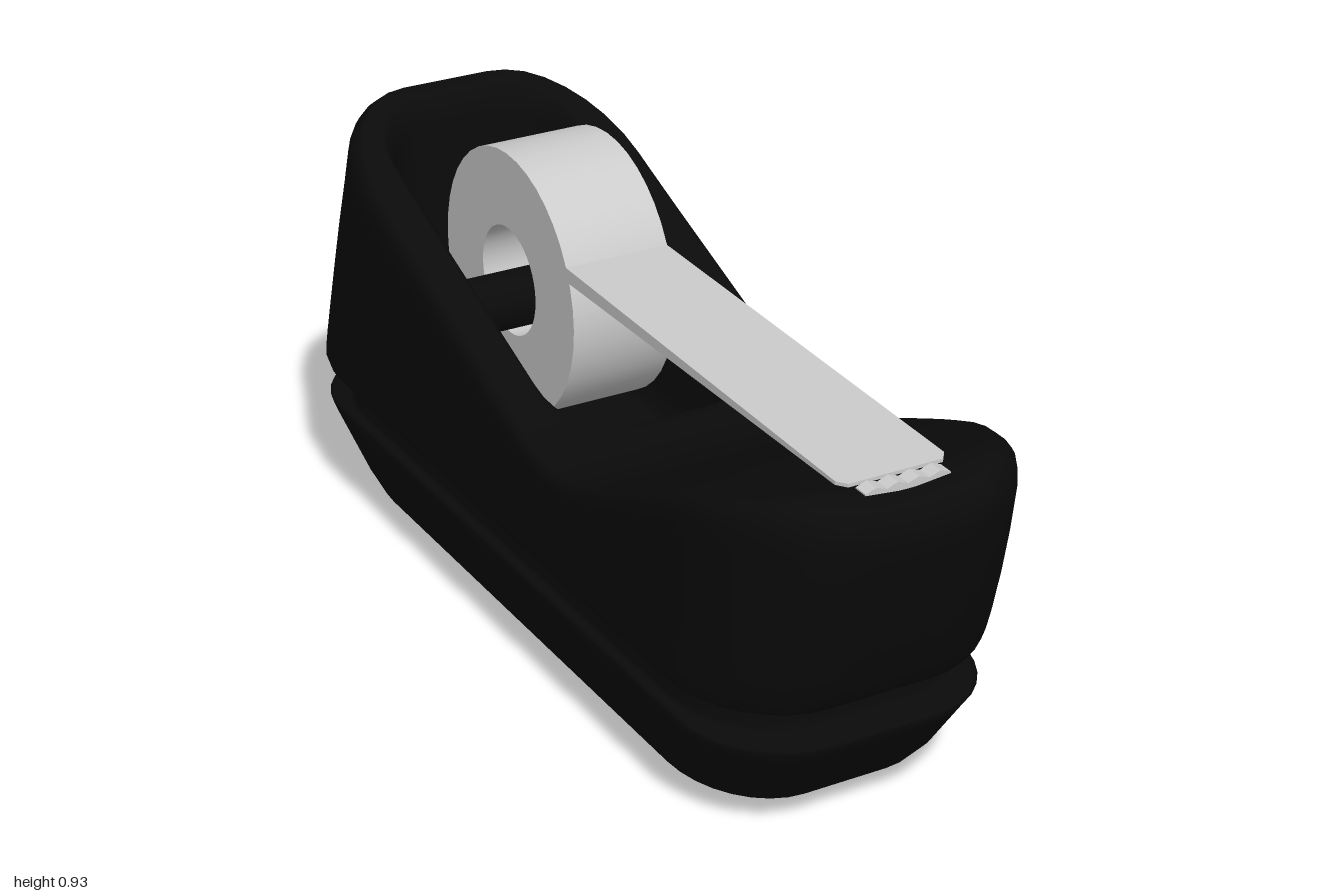
import * as THREE from 'three';
import { toCreasedNormals } from 'three/addons/utils/BufferGeometryUtils.js';

const lerp = THREE.MathUtils.lerp;

// Piecewise-linear lookup in a list of [key, value] pairs, keys rising
function lookup(table, k) {
  if (k <= table[0][0]) return table[0][1];
  for (let i = 1; i < table.length; i++) {
    const [k0, v0] = table[i - 1], [k1, v1] = table[i];
    if (k <= k1) return lerp(v0, v1, (k - k0) / (k1 - k0));
  }
  return table[table.length - 1][1];
}

// Rim height along z, and front and back wall positions by height
const RIM = [[-0.86, 0.9], [-0.82, 0.888], [-0.4, 0.72], [0, 0.565], [0.05, 0.547], [0.1, 0.531],
  [0.15, 0.52], [0.2, 0.516], [0.25, 0.52], [0.3, 0.532], [0.4, 0.573], [0.6, 0.658],
  [0.75, 0.717], [0.83, 0.738], [0.87, 0.757], [0.91, 0.77], [0.96, 0.77]];
const FRONT = [[0.3, 0.88], [0.33, 0.905], [0.4, 0.93], [0.5, 0.96], [0.6, 0.985], [0.68, 1],
  [0.72, 0.998], [0.75, 0.985], [0.77, 0.955]];
const BACK = [[0.3, -0.99], [0.32, -1], [0.5, -0.957], [0.7, -0.91], [0.87, -0.868], [0.9, -0.845]];

// Rim height with a shallow dip under the strip at the front
function rim(x, z) {
  const dip = 0.02 * Math.max(0, 1 - (x / 0.16) ** 2) * THREE.MathUtils.smoothstep(z, 0.6, 0.82);
  return lookup(RIM, z) - dip;
}

// Plan outline with elliptical corners: hw half width, zf front, zb back, rx and rz corner radii
function outline({ hw, zf, zb, rx, rz }) {
  const pts = [];
  const line = (x0, z0, x1, z1, n) => {
    for (let i = 0; i < n; i++) pts.push([lerp(x0, x1, i / n), lerp(z0, z1, i / n)]);
  };
  const corner = (cx, cz, quarter) => {
    for (let i = 0; i < 8; i++) {
      const a = (quarter + i / 8) * Math.PI / 2;
      pts.push([cx + rx * Math.cos(a), cz + rz * Math.sin(a)]);
    }
  };
  const x = hw - rx, f = zf - rz, b = zb + rz;
  line(hw, b, hw, f, 28);
  corner(x, f, 0);
  line(x, zf, -x, zf, 10);
  corner(-x, f, 1);
  line(-hw, f, -hw, b, 28);
  corner(-x, b, 2);
  line(-x, zb, x, zb, 10);
  corner(x, b, 3);
  return pts;
}

// Skin a list of rings; each ring is an outline plus a height rule y(x, z)
function loft(rings) {
  const pos = [], index = [];
  let n = 0;
  for (const ring of rings) {
    const pts = outline(ring);
    n = pts.length;
    for (const [x, z] of pts) pos.push(x, ring.y(x, z), z);
  }
  for (let i = 0; i < rings.length - 1; i++) {
    for (let j = 0; j < n; j++) {
      const a = i * n + j, b = i * n + (j + 1) % n, c = a + n, d = b + n;
      index.push(a, c, b, b, c, d);
    }
  }
  const g = new THREE.BufferGeometry();
  g.setAttribute('position', new THREE.Float32BufferAttribute(pos, 3));
  g.setIndex(index);
  g.computeVertexNormals();
  return g;
}

function bodyRings() {
  const rings = [];
  const add = (hw, zf, zb, rx, rz, y) =>
    rings.push({ hw, zf, zb, rx, rz, y: typeof y === 'function' ? y : () => y });

  // Weighted foot with rounded underside, then the groove
  add(0.001, 0.001, -0.001, 0.0005, 0.0005, 0);
  for (const [y, hw, zf, zb] of [
    [0, 0.12, 0.56, -0.66], [0.01, 0.19, 0.66, -0.73], [0.028, 0.232, 0.73, -0.8],
    [0.055, 0.256, 0.775, -0.845], [0.1, 0.274, 0.815, -0.885], [0.2, 0.3, 0.88, -0.975],
    [0.222, 0.305, 0.895, -0.993], [0.229, 0.302, 0.89, -0.988], [0.231, 0.296, 0.87, -0.97],
    [0.232, 0.287, 0.83, -0.925], [0.238, 0.281, 0.82, -0.915], [0.288, 0.281, 0.82, -0.915],
    [0.296, 0.286, 0.83, -0.925], [0.298, 0.3, 0.865, -0.975]])
    add(hw, zf, zb, hw * 0.65, 0.22, y);

  // Outer wall rising to the sloping rim
  const wall = [[0, 0.308], [0.03, 0.312], [0.1, 0.312], [0.2, 0.312], [0.4, 0.312], [0.6, 0.312],
    [0.8, 0.312], [0.87, 0.312], [0.93, 0.311], [0.97, 0.307], [1, 0.298]];
  for (const [t, hw] of wall)
    add(hw, lookup(FRONT, 0.3 + 0.47 * t), lookup(BACK, 0.3 + 0.6 * t), 0.2, 0.23 + 0.07 * t,
      (x, z) => lerp(0.3, rim(x, z), t));

  // Saddle-shaped top surface running in to the edge of the well
  const steps = 16;
  for (let i = 1; i <= steps; i++) {
    const s = i / steps;
    add(lerp(0.298, 0.22, s), lerp(0.955, 0.12, s), lerp(-0.845, -0.8, s),
      lerp(0.2, 0.13, s), lerp(0.3, 0.16, s), rim);
  }

  // Well walls and floor
  add(0.21, 0.1, -0.788, 0.12, 0.15, (x, z) => rim(x, z) - 0.015);
  add(0.205, 0.085, -0.78, 0.12, 0.15, (x, z) => rim(x, z) - 0.045);
  add(0.195, 0.03, -0.75, 0.11, 0.14, 0.38);
  add(0.18, 0, -0.73, 0.1, 0.13, 0.335);
  add(0.16, -0.03, -0.7, 0.1, 0.13, 0.33);
  add(0.001, -0.35, -0.352, 0.0005, 0.0005, 0.33);
  return rings;
}

export function createModel() {
  const group = new THREE.Group();
  const black = new THREE.MeshStandardMaterial({ color: 0x0a0a0a });
  const grey = new THREE.MeshStandardMaterial({ color: 0xcccccc });
  const add = (name, geometry, material) => {
    const mesh = new THREE.Mesh(geometry, material);
    mesh.name = name;
    group.add(mesh);
    return mesh;
  };

  add('body', loft(bodyRings()), black);

  // Axle across the well, kept below the rim
  const axle = add('axle', new THREE.CylinderGeometry(0.06, 0.06, 0.41, 20), black);
  axle.rotation.z = Math.PI / 2;
  axle.position.set(0, 0.605, -0.36);

  // Tape roll
  const ring = new THREE.Shape().absarc(0, 0, 0.276, 0, Math.PI * 2);
  ring.holes.push(new THREE.Path().absarc(0, 0, 0.115, 0, Math.PI * 2, true));
  const roll = new THREE.ExtrudeGeometry(ring, { depth: 0.226, bevelEnabled: false, curveSegments: 20 });
  roll.translate(0, 0, -0.113).rotateY(Math.PI / 2);
  add('tapeRoll', toCreasedNormals(roll, 0.6), grey).position.set(0, 0.655, -0.345);

  // Tape strip: clipped corners in plan, tapering in thickness to the front
  const plan = new THREE.Shape([[-0.113, 0.12], [0.113, 0.12], [0.113, -0.885], [0.098, -0.905],
    [-0.098, -0.905], [-0.113, -0.885]].reverse().map(([x, y]) => new THREE.Vector2(x, y)));
  const strip = new THREE.ExtrudeGeometry(plan, { depth: 1, bevelEnabled: false });
  strip.rotateX(-Math.PI / 2);
  const p = strip.attributes.position;
  for (let i = 0; i < p.count; i++) {
    const s = (p.getZ(i) + 0.12) / 1.025;
    p.setY(i, p.getY(i) > 0.5 ? lerp(0.78, 0.765, s) : lerp(0.75, 0.758, s));
  }
  strip.computeVertexNormals();
  add('tapeStrip', strip, grey);

  // Toothed cutting blade
  const teeth = new THREE.Shape();
  teeth.moveTo(-0.088, 0.757).lineTo(0, 0.748).lineTo(0.088, 0.757);
  for (let i = 0; i <= 8; i++) teeth.lineTo(0.088 - 0.022 * i, i % 2 ? 0.768 : 0.76);
  const blade = new THREE.ExtrudeGeometry(teeth, { depth: 0.032, bevelEnabled: false });
  add('blade', blade.translate(0, 0, 0.913), grey);

  return group;
}
